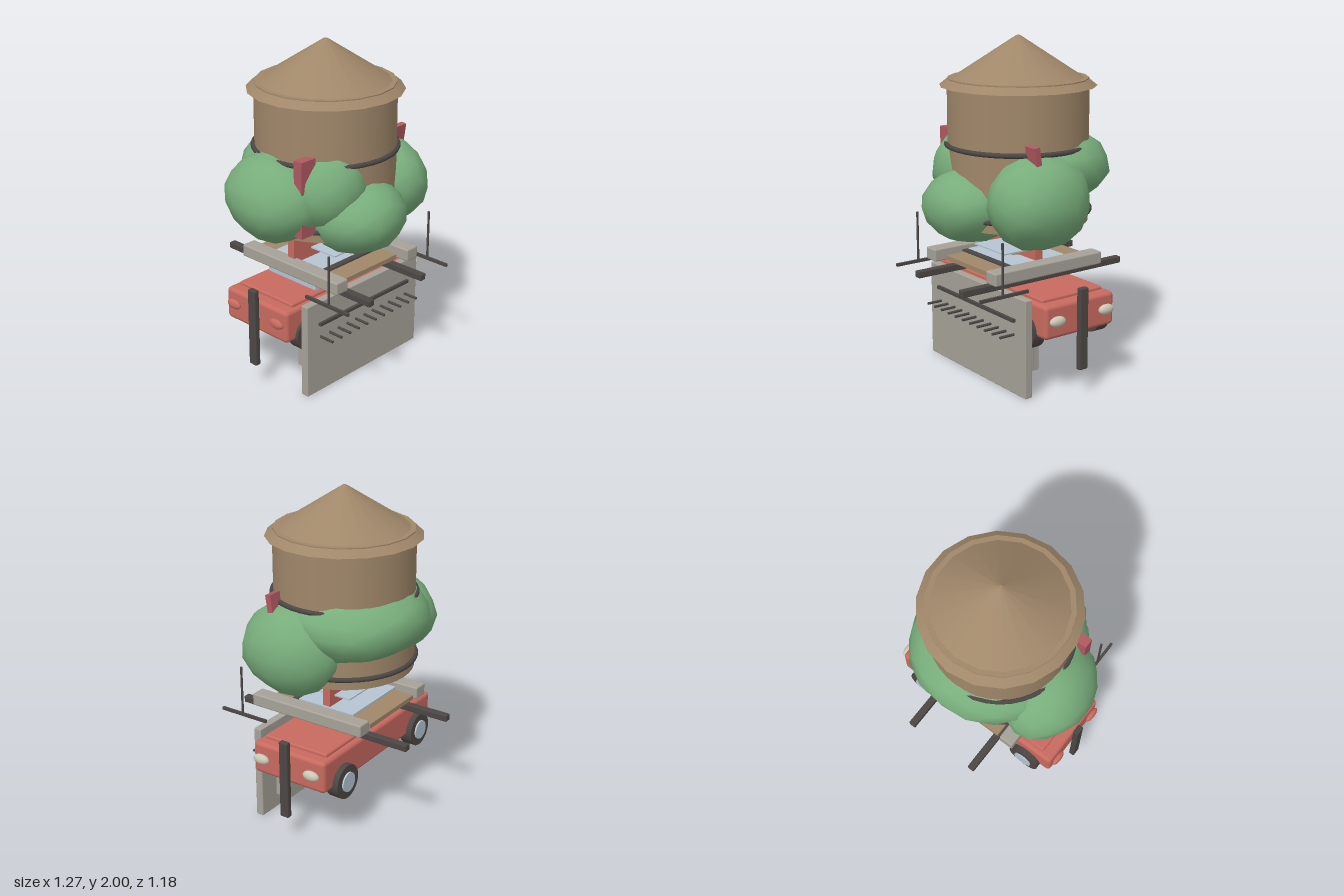
import * as THREE from 'three';
import { mergeVertices } from 'three/addons/utils/BufferGeometryUtils.js';
import { RoundedBoxGeometry } from 'three/addons/geometries/RoundedBoxGeometry.js';

const mat = (name, color) => new THREE.MeshStandardMaterial({ name, color });

export function createModel() {
  const root = new THREE.Group();
  const wood = mat('brown wood', 0xa0876a);
  const leaf = mat('leaf green', 0x78ad7b);
  const red = mat('car red', 0xc86a5f);
  const sign = mat('dusty rose', 0xb05860);
  const grey = mat('stone grey', 0xa6a298);
  const dark = mat('dark iron', 0x4c4745);
  const glass = mat('pale blue', 0xb6c5d2);
  const cream = mat('cream', 0xcbc6b4);

  const add = (name, geo, material, x = 0, y = 0, z = 0) => {
    const m = new THREE.Mesh(geo, material);
    m.name = name;
    m.position.set(x, y, z);
    root.add(m);
    return m;
  };
  // Box given by its minimum and maximum on each axis
  const box = (name, material, [x0, x1], [y0, y1], [z0, z1], r = 0) => {
    const s = [x1 - x0, y1 - y0, z1 - z0];
    const g = r ? new RoundedBoxGeometry(...s, 2, r) : new THREE.BoxGeometry(...s);
    return add(name, g, material, (x0 + x1) / 2, (y0 + y1) / 2, (z0 + z1) / 2);
  };
  // Round bar between two points
  const rod = (name, material, a, b, r0, r1 = r0, sides = 10) => {
    const p = new THREE.Vector3(...a), q = new THREE.Vector3(...b);
    const d = q.clone().sub(p);
    const m = add(name, new THREE.CylinderGeometry(r1, r0, d.length(), sides), material);
    m.position.copy(p).add(q).multiplyScalar(0.5);
    m.quaternion.setFromUnitVectors(new THREE.Vector3(0, 1, 0), d.normalize());
    return m;
  };

  // Water tank with hoops
  add('tank', new THREE.CylinderGeometry(0.415, 0.415, 0.82, 40), wood, 0.003, 1.33, 0);
  for (const y of [0.985, 1.375]) {
    const hoop = add('tankHoop', new THREE.TorusGeometry(0.423, 0.015, 8, 40), dark, 0.003, y, 0);
    hoop.rotation.x = Math.PI / 2;
  }

  // Conical roof, rim and eave
  add('roof', new THREE.CylinderGeometry(0.012, 0.39, 0.245, 18), wood, 0.003, 1.8775, 0);
  add('roofRim', new THREE.CylinderGeometry(0.412, 0.412, 0.02, 18), wood, 0.003, 1.75, 0);
  add('eave', new THREE.CylinderGeometry(0.41, 0.46, 0.04, 18), wood, 0.003, 1.735, 0);

  // Foliage clumps: lumpy spheres, centre then radii
  const clump = (c, r, seed) => {
    let g = new THREE.IcosahedronGeometry(1, 2);
    g.deleteAttribute('normal');
    g.deleteAttribute('uv');
    g = mergeVertices(g, 1e-3);
    const p = g.attributes.position;
    const v = new THREE.Vector3();
    for (let i = 0; i < p.count; i++) {
      v.fromBufferAttribute(p, i);
      const k = 0.99 + 0.035 * Math.sin(5 * v.x + seed) * Math.cos(4 * v.y + 3 * v.z + seed);
      p.setXYZ(i, v.x * r[0] * k, v.y * r[1] * k, v.z * r[2] * k);
    }
    g.computeVertexNormals();
    add('foliage', g, leaf, ...c);
  };
  clump([-0.055, 1.035, 0.3], [0.29, 0.225, 0.29], 1);
  clump([0.355, 1.1, 0.115], [0.255, 0.28, 0.325], 2);
  clump([-0.375, 1.14, -0.04], [0.265, 0.265, 0.33], 3);
  clump([0.03, 1.25, -0.11], [0.47, 0.24, 0.425], 4);
  clump([-0.19, 1.21, 0.14], [0.27, 0.28, 0.295], 5);

  // Signs fixed to the tank
  box('tallSign', sign, [-0.45, -0.34], [0.98, 1.435], [0.19, 0.25]);
  const tag = box('smallSign', sign, [0.37, 0.46], [1.33, 1.435], [0.185, 0.22]);
  tag.rotation.x = 0.15;

  // Car body running along x
  box('carBody', red, [-0.575, 0.585], [0.36, 0.56], [-0.258, 0.245], 0.025);
  box('carDeck', red, [-0.5, 0.515], [0.55, 0.58], [-0.225, 0.215], 0.012);
  box('cabinGlass', glass, [-0.28, 0.21], [0.57, 0.7], [-0.2, 0.19]);
  box('raisedPanel', red, [-0.285, 0.2], [0.69, 0.87], [-0.03, 0.02]);
  for (const z of [-0.18, 0.175]) {
    const lamp = add('headlight', new THREE.SphereGeometry(1, 20, 14), cream, 0.605, 0.47, z);
    lamp.scale.set(0.026, 0.031, 0.054);
    const tail = add('tailLight', new THREE.SphereGeometry(1, 20, 14), red, -0.587, 0.475, z);
    tail.scale.set(0.02, 0.03, 0.053);
  }

  // Wheels with hubs
  for (const x of [-0.4, 0.4]) for (const s of [-1, 1]) {
    const zc = s < 0 ? -0.255 : 0.225;
    const tyre = add('tyre', new THREE.CylinderGeometry(0.105, 0.105, 0.08, 28), dark, x, 0.375, zc);
    const hub = add('hub', new THREE.CylinderGeometry(0.06, 0.06, 0.1, 24), glass, x, 0.375, zc);
    tyre.rotation.x = hub.rotation.x = Math.PI / 2;
  }

  // Upright bumpers, long cross bars and side beams
  box('endPost', dark, [0.592, 0.628], [0.15, 0.637], [-0.03, 0.03], 0.008);
  box('endPost', dark, [-0.617, -0.58], [0.15, 0.637], [-0.03, 0.03], 0.008);
  for (const x of [-0.222, 0.236]) {
    box('crossBar', dark, [x - 0.022, x + 0.022], [0.592, 0.633], [-0.593, 0.575], 0.006);
  }
  for (const x of [-0.305, 0.313]) {
    box('sideBeam', grey, [x - 0.048, x + 0.048], [0.653, 0.73], [-0.352, 0.425], 0.01);
  }

  // Plank frame and thin tray between the beams
  box('plankFront', wood, [-0.235, 0.24], [0.662, 0.69], [0.19, 0.36]);
  box('plankBack', wood, [-0.235, 0.24], [0.662, 0.69], [-0.34, -0.19]);
  box('plankSlat', dark, [-0.255, 0.265], [0.688, 0.7], [0.19, 0.23]);
  box('tray', glass, [-0.145, 0.155], [0.754, 0.762], [-0.14, 0.215]);

  // Trunk, branch and root ball below the car
  rod('trunk', wood, [-0.005, 0.68, 0.03], [0.0, 0.96, 0.0], 0.04, 0.025, 14);
  rod('branch', wood, [0.03, 0.69, 0.0], [0.15, 0.92, 0.0], 0.025, 0.02, 12);
  const profile = [[0, 0.205], [0.04, 0.21], [0.06, 0.245], [0.06, 0.28], [0.052, 0.285], [0.06, 0.3], [0.055, 0.37]];
  add('rootBall', new THREE.LatheGeometry(profile.map(([x, y]) => new THREE.Vector2(x, y)), 20), wood);

  // Front panel, stepped backing, rail and row of pegs
  box('frontPanel', grey, [-0.478, 0.492], [0, 0.585], [0.265, 0.315], 0.006);
  box('backingPanel', grey, [-0.4, 0.41], [0.125, 0.5], [0.193, 0.225], 0.006);
  box('innerPanel', grey, [-0.38, 0.39], [0.11, 0.4], [0.14, 0.185], 0.006);
  box('panelRail', dark, [-0.385, 0.397], [0.437, 0.456], [0.31, 0.333]);
  for (let i = 0; i < 11; i++) {
    const x = -0.368 + i * 0.075;
    rod('peg', dark, [x, 0.36, 0.3], [x, 0.36, 0.412], 0.008);
  }

  // Side arms with upright rods
  for (const x of [-0.43, 0.443]) {
    box('sideArm', dark, [x - 0.008, x + 0.008], [0.614, 0.632], [0.26, 0.588]);
    rod('uprightRod', dark, [x, 0.62, 0.436], [x, 0.93, 0.436], 0.007);
  }
  return root;
}
